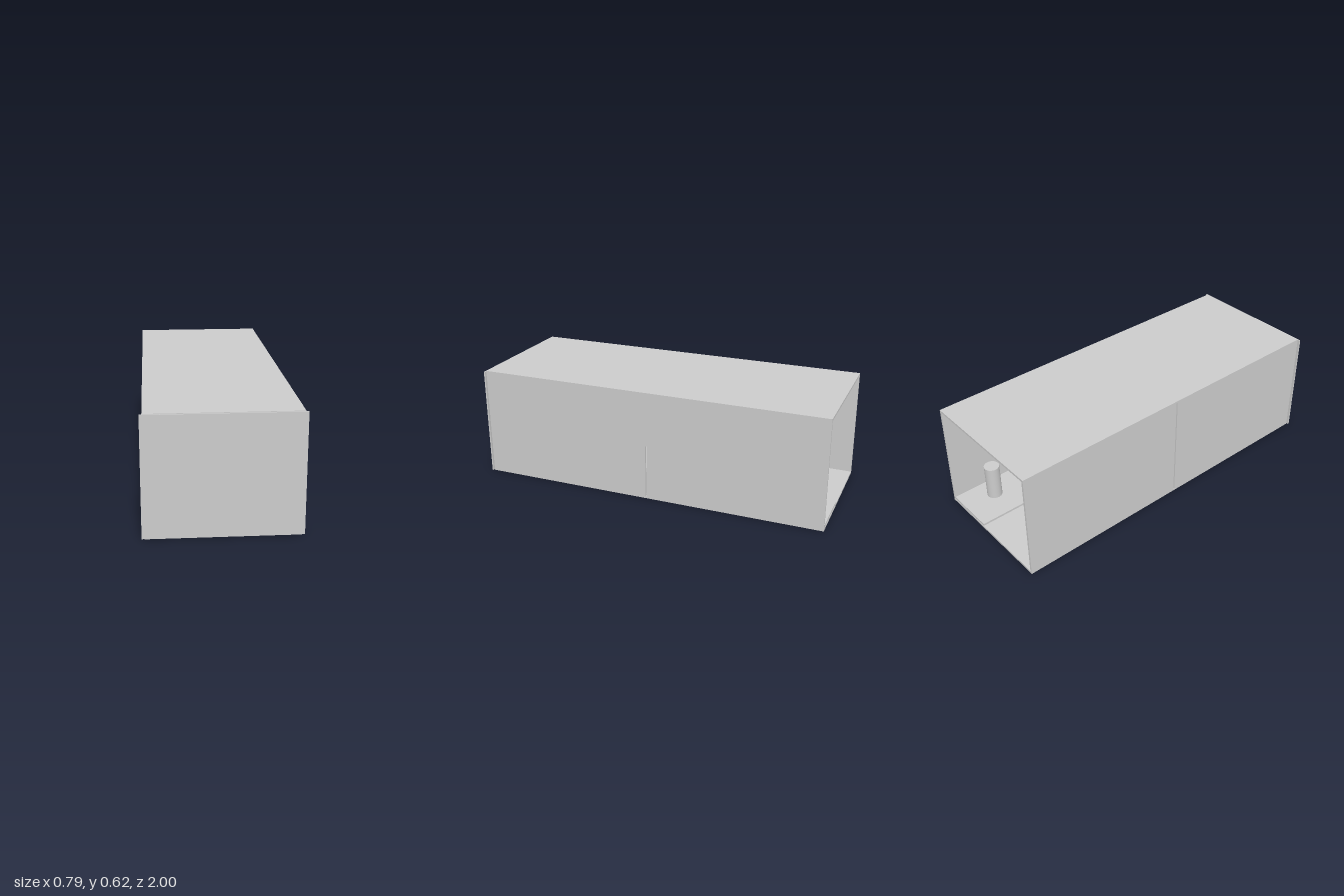
import * as THREE from 'three';

export function createModel() {
  const model = new THREE.Group();
  const material = new THREE.MeshStandardMaterial({ color: 0xcccccc, side: THREE.DoubleSide });

  const W = 0.38, H = 0.625, T = 0.012, FRONT = 0.992, GAP = 0.004;

  // Box given by its min and max corners
  function box(name, x0, x1, y0, y1, z0, z1) {
    const mesh = new THREE.Mesh(new THREE.BoxGeometry(x1 - x0, y1 - y0, z1 - z0), material);
    mesh.position.set((x0 + x1) / 2, (y0 + y1) / 2, (z0 + z1) / 2);
    mesh.name = name;
    model.add(mesh);
    return mesh;
  }

  // Floor, roof and the slightly wider front panel; the back stays open
  box('floor', -W, W, 0, T, -1, FRONT);
  box('roof', -W, W, H - T, H, -1, FRONT);
  box('frontPanel', -0.393, 0.393, 0.005, 0.622, FRONT, 1);

  // Right-hand wall in two panels with a full-height seam between them
  box('rightWallBack', -W, -W + T, T, H - T, -1, -GAP);
  box('rightWallFront', -W, -W + T, T, H - T, GAP, FRONT);

  // Left-hand wall in one piece with a slot up to half height
  const shape = new THREE.Shape([
    [-1, T], [-GAP, T], [-GAP, 0.315], [GAP, 0.315], [GAP, T],
    [FRONT, T], [FRONT, H - T], [-1, H - T],
  ].map(([z, y]) => new THREE.Vector2(-z, y)));
  const wall = new THREE.Mesh(
    new THREE.ExtrudeGeometry(shape, { depth: T, bevelEnabled: false }), material);
  wall.rotation.y = Math.PI / 2;
  wall.position.x = W - T;
  wall.name = 'leftWall';
  model.add(wall);

  // Low platform along the left wall, with a crate and a post on it
  const deck = T + 0.012;
  box('platform', 0.073, W - T, T, deck, -0.998, FRONT);
  box('crate', 0.17, W - T - 0.002, deck, 0.18, -0.02, 0.18);

  const post = new THREE.Mesh(new THREE.CylinderGeometry(0.043, 0.043, 0.2, 32), material);
  post.position.set(0.25, deck + 0.1, -0.81);
  post.name = 'post';
  model.add(post);

  return model;
}
